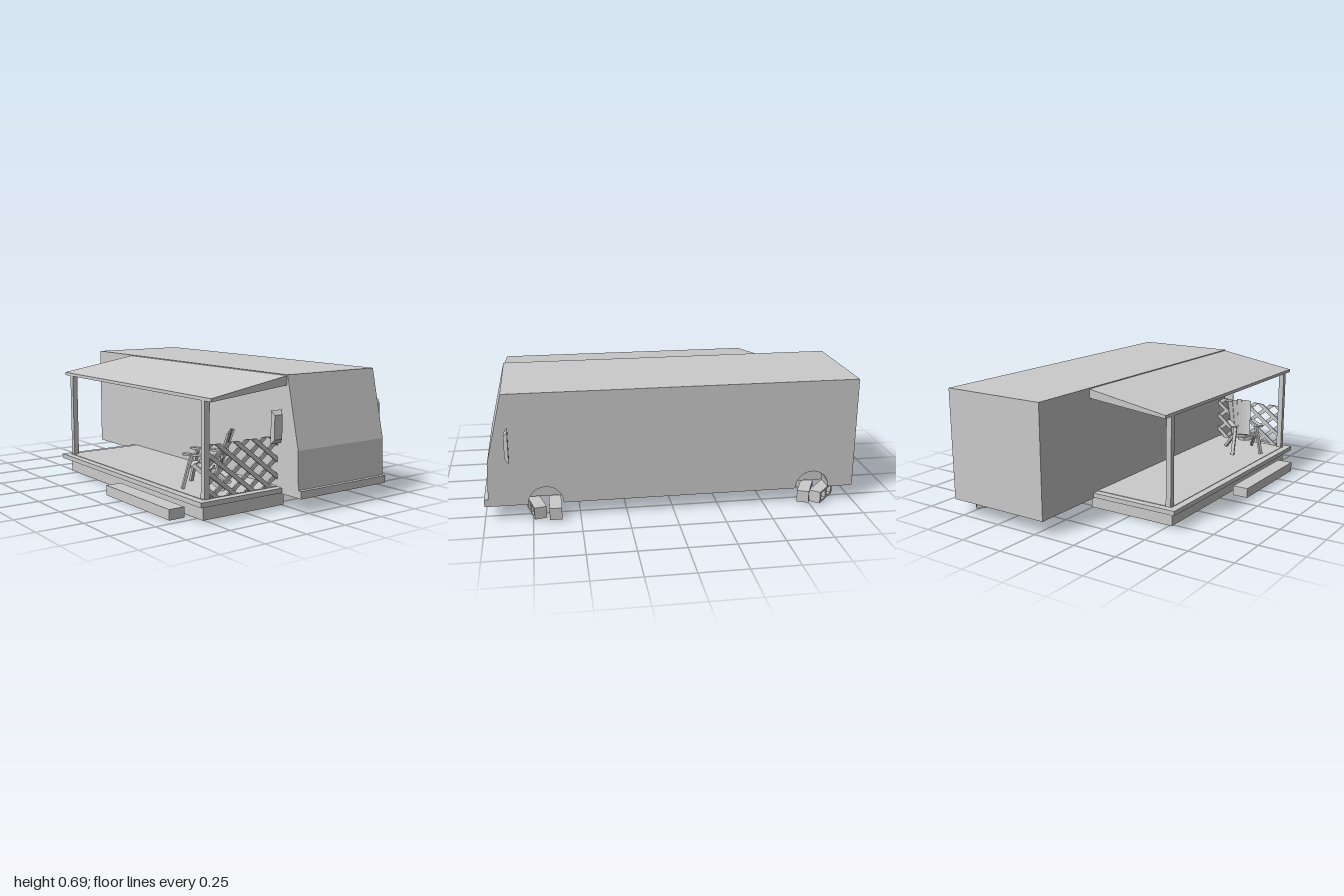
import * as THREE from 'three';

const grey = new THREE.MeshStandardMaterial({ color: 0xcccccc, flatShading: true, side: THREE.DoubleSide });

function add(parent, name, geometry) {
  const mesh = new THREE.Mesh(geometry, grey);
  mesh.name = name;
  parent.add(mesh);
  return mesh;
}

// Box given by its limits
function box(parent, name, x0, x1, y0, y1, z0, z1) {
  const g = new THREE.BoxGeometry(x1 - x0, y1 - y0, z1 - z0);
  g.translate((x0 + x1) / 2, (y0 + y1) / 2, (z0 + z1) / 2);
  return add(parent, name, g);
}

// Board of a given width and thickness running between two points
function board(parent, name, a, b, width, thick) {
  const p = new THREE.Vector3(...a), q = new THREE.Vector3(...b);
  const m = box(parent, name, -width / 2, width / 2, -thick / 2, thick / 2, -p.distanceTo(q) / 2, p.distanceTo(q) / 2);
  m.position.copy(p).add(q).multiplyScalar(0.5);
  m.lookAt(q);
  return m;
}

// Side profile in (z, y) extruded across x
function sideExtrude(shape, x0, x1) {
  const g = new THREE.ExtrudeGeometry(shape, { depth: x1 - x0, bevelEnabled: false, curveSegments: 16 });
  return g.rotateY(-Math.PI / 2).translate(x1, 0, 0);
}

// Four thin walls around a rectangle, open above and below
function walls(parent, name, x0, x1, y0, y1, z0, z1, t) {
  box(parent, name, x0, x0 + t, y0, y1, z0, z1);
  box(parent, name, x1 - t, x1, y0, y1, z0, z1);
  box(parent, name, x0 + t, x1 - t, y0, y1, z0, z0 + t);
  box(parent, name, x0 + t, x1 - t, y0, y1, z1 - t, z1);
}

const ARCHES = [0.68, -0.77];

function bodyProfile(withArches) {
  const s = new THREE.Shape();
  s.moveTo(-1, 0.08);
  s.lineTo(-1, 0.69);
  s.lineTo(0.885, 0.69);
  s.lineTo(0.972, 0.32);
  s.lineTo(0.98, 0.08);
  if (withArches) {
    for (const z of ARCHES) {
      s.lineTo(z + 0.092, 0.08);
      s.absarc(z, 0.083, 0.092, 0, Math.PI, false);
      s.lineTo(z - 0.092, 0.08);
    }
  }
  s.closePath();
  return s;
}

// Keeps the part of a polygon where point[axis] * sign <= limit * sign
function clip(poly, axis, limit, sign) {
  const out = [];
  poly.forEach((p, i) => {
    const q = poly[(i + 1) % poly.length];
    const dp = (limit - p[axis]) * sign, dq = (limit - q[axis]) * sign;
    if (dp >= 0) out.push(p);
    if (dp * dq < 0) out.push(p.clone().lerp(q, dp / (dp - dq)));
  });
  return out;
}

function buildLattice() {
  const lattice = new THREE.Group();
  lattice.name = 'lattice';
  const x0 = -0.49, x1 = -0.055, y0 = 0.112, y1 = 0.375;
  const run = (y1 - y0) / 0.78, half = 0.018;
  for (const dir of [1, -1]) {
    for (let i = -5; i < 9; i++) {
      const x = x0 + 0.02 + i * 0.113 + (dir < 0 ? 0.03 : 0);
      const a = dir > 0 ? x : x + run, b = dir > 0 ? x + run : x;
      let poly = [[a - half, y0], [a + half, y0], [b + half, y1], [b - half, y1]].map(p => new THREE.Vector2(...p));
      poly = clip(clip(poly, 'x', x0, -1), 'x', x1, 1);
      if (poly.length < 3) continue;
      const g = new THREE.ExtrudeGeometry(new THREE.Shape(poly), { depth: 0.008, bevelEnabled: false });
      add(lattice, 'latticeSlat', g.translate(0, 0, dir > 0 ? 0.806 : 0.814));
    }
  }
  return lattice;
}

// Slatted garden chair, facing its own +z
function buildChair() {
  const chair = new THREE.Group();
  chair.name = 'chair';
  for (const s of [-1, 1]) {
    board(chair, 'chairFrontLeg', [s * 0.09, 0, 0.11], [s * 0.065, 0.17, 0.07], 0.02, 0.014);
    board(chair, 'chairBackLeg', [s * 0.085, 0, -0.1], [s * 0.065, 0.12, 0.06], 0.014, 0.02);
    board(chair, 'chairArm', [s * 0.085, 0.178, 0.11], [s * 0.075, 0.17, -0.08], 0.03, 0.01);
  }
  for (let i = 0; i < 4; i++) {
    const z = 0.075 - i * 0.04, y = 0.11 - i * 0.01;
    board(chair, 'chairSeatSlat', [-0.07, y, z], [0.07, y, z], 0.032, 0.01);
  }
  for (let i = -2; i <= 2; i++) {
    board(chair, 'chairBackSlat', [i * 0.022, 0.07, -0.05], [i * 0.031, 0.3 - Math.abs(i) * 0.006, -0.12], 0.029, 0.01);
  }
  board(chair, 'chairBackRail', [-0.075, 0.17, -0.088], [0.075, 0.17, -0.088], 0.012, 0.02);
  chair.position.set(-0.34, 0.113, 0.61);
  chair.rotation.y = -2.43;
  return chair;
}

// Hollow building block with two square holes through its width
function buildBlock(x, z, turn) {
  const L = 0.17, H = 0.065, W = 0.065;
  const s = new THREE.Shape();
  s.moveTo(-L / 2, 0).lineTo(L / 2, 0).lineTo(L / 2, H).lineTo(-L / 2, H).closePath();
  for (const c of [-0.038, 0.038]) {
    const h = new THREE.Path();
    h.moveTo(c - 0.027, 0.011).lineTo(c - 0.027, 0.054).lineTo(c + 0.027, 0.054).lineTo(c + 0.027, 0.011).closePath();
    s.holes.push(h);
  }
  const block = new THREE.Mesh(new THREE.ExtrudeGeometry(s, { depth: W, bevelEnabled: false }).translate(0, 0, -W / 2), grey);
  block.name = 'supportBlock';
  block.position.set(x, 0.01, z);
  block.rotation.y = turn;
  return block;
}

export function createModel() {
  const model = new THREE.Group();
  model.name = 'mobileHomeWithPorch';

  // Vehicle body, with wheel arches recessed into the left side
  const body = new THREE.Group();
  body.name = 'body';
  model.add(body);
  add(body, 'bodyShell', sideExtrude(bodyProfile(false), -0.055, 0.457));
  add(body, 'archedSide', sideExtrude(bodyProfile(true), 0.457, 0.557));
  box(body, 'bumper', -0.055, 0.557, 0.08, 0.12, 0.97, 1);

  // Wing mirrors: shallow frustums, larger at the back
  for (const x of [-0.103, 0.604]) {
    const g = new THREE.BoxGeometry(0.067, 0.17, 0.02);
    const p = g.attributes.position;
    for (let i = 0; i < p.count; i++) {
      if (p.getZ(i) > 0) p.setXY(i, p.getX(i) * 0.76, p.getY(i) * 0.73);
    }
    add(model, 'mirror', g.translate(x, 0.43, 0.868));
  }

  // Porch deck, skirt and step
  const porch = new THREE.Group();
  porch.name = 'porch';
  model.add(porch);
  box(porch, 'deck', -0.565, -0.055, 0.085, 0.11, -0.58, 0.86);
  box(porch, 'deckFloor', -0.525, -0.055, 0.11, 0.113, -0.54, 0.82);
  walls(porch, 'skirt', -0.525, -0.01, 0.008, 0.085, -0.535, 0.82, 0.006);
  walls(porch, 'stepSide', -0.64, -0.55, 0.0, 0.05, 0.09, 0.7, 0.006);
  box(porch, 'stepTread', -0.64, -0.55, 0.05, 0.055, 0.09, 0.7);

  // Sloping roof and its posts
  const roof = new THREE.Shape();
  roof.moveTo(-0.055, 0.637).lineTo(-0.055, 0.685).lineTo(-0.523, 0.607).lineTo(-0.523, 0.59).closePath();
  add(porch, 'porchRoof', new THREE.ExtrudeGeometry(roof, { depth: 1.48, bevelEnabled: false }).translate(0, 0, -0.6));
  for (const z of [-0.525, 0.81]) box(porch, 'post', -0.52, -0.49, 0.11, 0.595, z - 0.015, z + 0.015);

  porch.add(buildLattice(), buildChair());

  // Blocks under the wheel arches
  model.add(buildBlock(0.53, 0.632, 0), buildBlock(0.507, 0.73, 0.23));
  model.add(buildBlock(0.536, -0.83, -0.72), buildBlock(0.513, -0.747, -0.44));

  return model;
}
